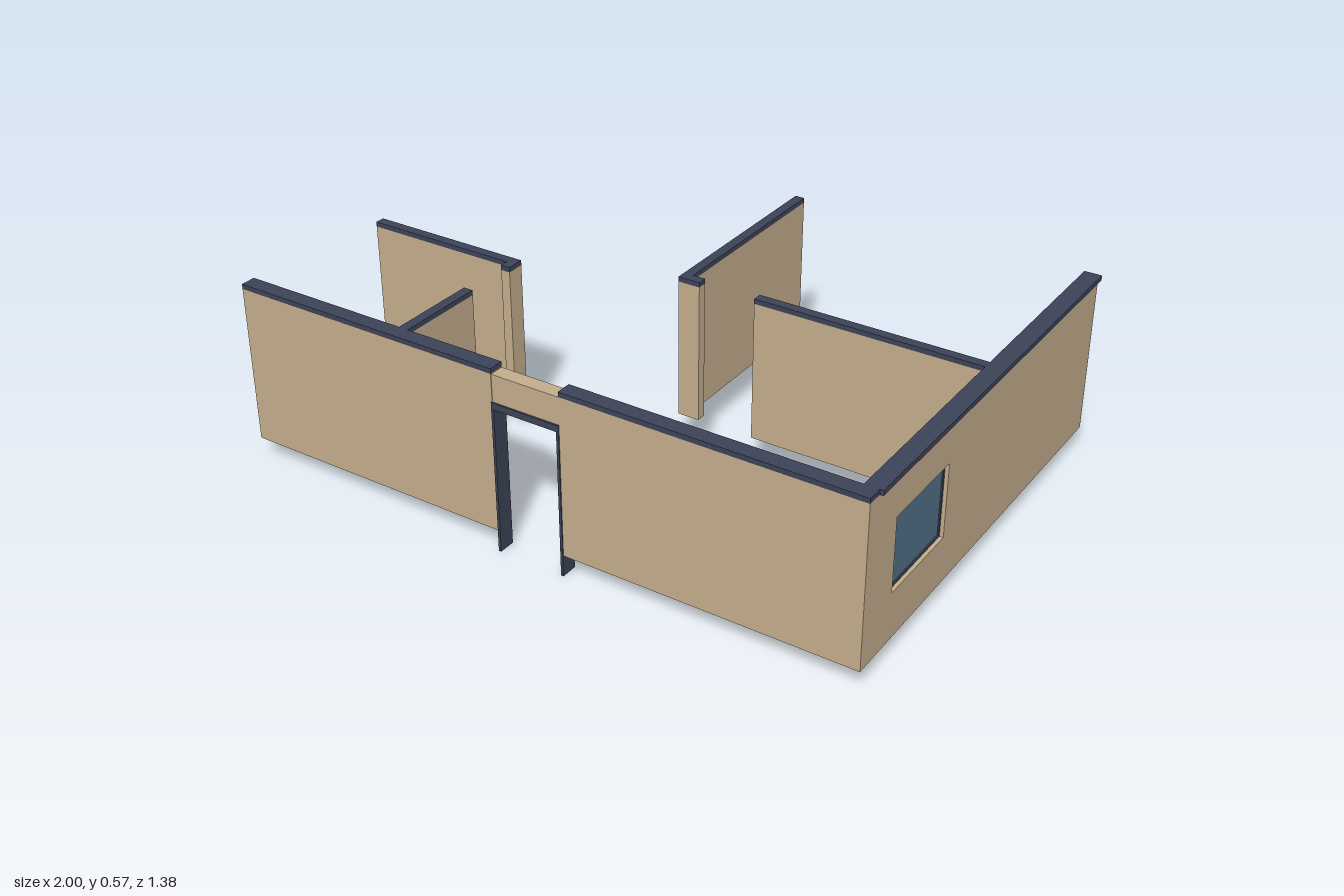
import * as THREE from 'three';

export function createModel() {
  const model = new THREE.Group();
  const material = (name, color) => {
    const m = new THREE.MeshStandardMaterial({ color });
    m.name = name;
    return m;
  };
  const plaster = material('tan plaster', 0xc4ad8c);
  const trim = material('dark slate trim', 0x3d4358);
  const glass = material('blue glass', 0x527089);

  const TOP = 0.555, CAP = 0.57, OUTER = 0.065, INNER = 0.12;

  // Box given by its limits on each axis
  const box = (name, mat, [x0, x1], [y0, y1], [z0, z1]) => {
    const mesh = new THREE.Mesh(new THREE.BoxGeometry(x1 - x0, y1 - y0, z1 - z0), mat);
    mesh.position.set((x0 + x1) / 2, (y0 + y1) / 2, (z0 + z1) / 2);
    mesh.name = name;
    model.add(mesh);
  };

  // Wall with a dark strip along its top
  const wall = (name, x, z, bottom) => {
    box(name, plaster, x, [bottom, TOP], z);
    box(name + 'Cap', trim, x, [TOP, CAP], z);
  };

  // Front wall on both sides of the doorway, plain panel above it
  const frontZ = [0.638, 0.685];
  wall('frontWallRight', [-1, -0.118], frontZ, OUTER);
  wall('frontWallLeft', [0.098, 0.99], frontZ, OUTER);
  box('doorLintel', plaster, [-0.118, 0.098], [0.468, 0.553], [0.638, 0.683]);

  // Door frame, reaching down to the ground
  const frameZ = [0.636, 0.688];
  box('doorJamb', trim, [-0.12, -0.112], [0, 0.47], frameZ);
  box('doorJamb', trim, [0.09, 0.098], [0, 0.47], frameZ);
  box('doorHead', trim, [-0.112, 0.09], [0.45, 0.47], frameZ);

  // Side wall with a window opening, drawn in z and y
  const win = { z: [0.25, 0.535], y: [0.21, 0.435] };
  const rect = (Path, [a0, a1], [b0, b1]) => new Path(
    [[a0, b0], [a1, b0], [a1, b1], [a0, b1]].map(p => new THREE.Vector2(...p)));
  const side = rect(THREE.Shape, [-0.688, 0.638], [OUTER, TOP]);
  side.holes.push(rect(THREE.Path, win.z, win.y));
  const sideGeo = new THREE.ExtrudeGeometry(side, { depth: 0.04, bevelEnabled: false });
  sideGeo.rotateY(-Math.PI / 2);
  const sideWall = new THREE.Mesh(sideGeo, plaster);
  sideWall.position.x = 0.99;
  sideWall.name = 'sideWall';
  model.add(sideWall);
  box('sideWallCap', trim, [0.947, 1], [TOP, CAP], [-0.688, 0.638]);

  // Window pane, dark frame, inner mullion and sill
  box('windowPane', glass, [0.968, 0.975], win.y, win.z);
  const f = 0.007, frameX = [0.952, 0.979];
  for (const z of [win.z[0], win.z[1] - f]) box('windowFrameSide', trim, frameX, win.y, [z, z + f]);
  for (const y of [win.y[0], win.y[1] - f]) box('windowFrameRail', trim, frameX, [y, y + f], win.z);
  box('windowMullion', trim, [0.952, 0.968], win.y, [0.386, 0.4]);
  box('windowSill', plaster, [0.936, 0.952], [0.198, 0.21], [0.235, 0.54]);

  // Inner partitions with short returns beside the inner doorways
  wall('backPartition', [0, 0.03], [-0.688, -0.055], INNER);
  wall('backPartitionReturn', [0, 0.07], [-0.055, -0.025], INNER);
  wall('sidePartition', [0.25, 0.95], [-0.055, -0.025], INNER);
  wall('rightPartition', [-0.957, -0.436], [0.135, 0.165], INNER);
  wall('rightPartitionReturn', [-0.465, -0.435], [0.165, 0.192], INNER);
  wall('frontPartition', [-0.465, -0.435], [0.36, 0.638], INNER);

  return model;
}
